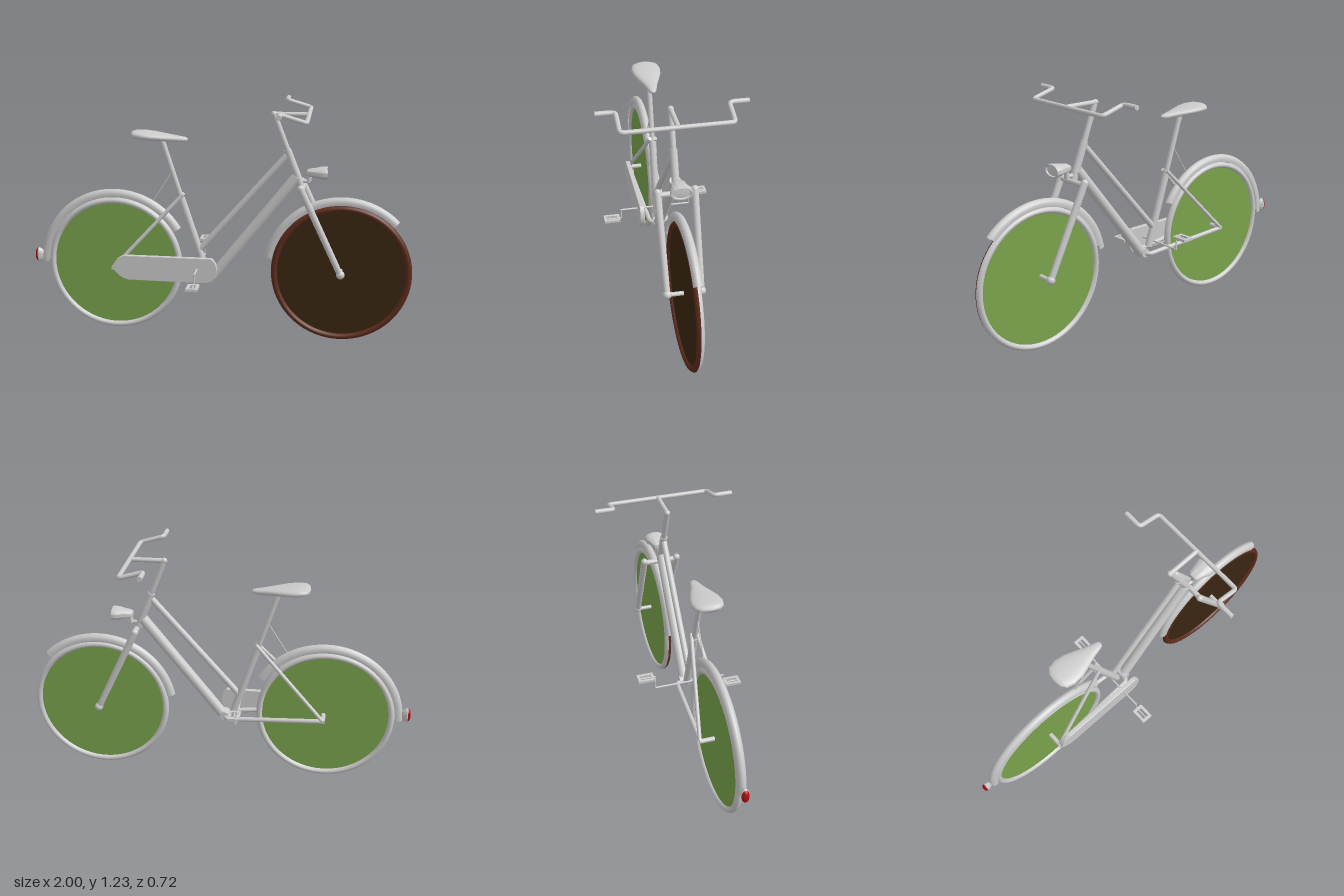
import * as THREE from 'three';
import { toCreasedNormals } from 'three/addons/utils/BufferGeometryUtils.js';

const mat = (color = 0xcccccc) => new THREE.MeshStandardMaterial({ color, side: THREE.DoubleSide });
const grey = mat(), green = mat(0x7aa34c), darkBrown = mat(0x3a2612), rust = mat(0x5e2c1c), red = mat(0xb01010);
const V = (p) => new THREE.Vector3(...p);

export function createModel() {
  const bike = new THREE.Group();
  bike.name = 'bicycle';

  const add = (name, geometry, material = grey, pos = [0, 0, 0]) => {
    const mesh = new THREE.Mesh(geometry, material);
    mesh.name = name;
    mesh.position.set(...pos);
    bike.add(mesh);
    return mesh;
  };

  // straight tube between two points
  const rod = (name, a, b, r, r2 = r) => {
    const from = V(a), to = V(b), dir = to.clone().sub(from);
    const m = add(name, new THREE.CylinderGeometry(r2, r, dir.length(), 16));
    m.position.copy(from).add(to).multiplyScalar(0.5);
    m.quaternion.setFromUnitVectors(new THREE.Vector3(0, 1, 0), dir.normalize());
    return m;
  };

  // tube along a polyline with rounded corners
  const bentTube = (name, pts, r, bend) => {
    const path = new THREE.CurvePath(), p = pts.map(V);
    let last = p[0];
    for (let i = 1; i < p.length - 1; i++) {
      const before = p[i].clone().add(p[i - 1].clone().sub(p[i]).setLength(bend));
      const after = p[i].clone().add(p[i + 1].clone().sub(p[i]).setLength(bend));
      path.add(new THREE.LineCurve3(last, before));
      path.add(new THREE.QuadraticBezierCurve3(before, p[i], after));
      last = after;
    }
    path.add(new THREE.LineCurve3(last, p[p.length - 1]));
    return add(name, new THREE.TubeGeometry(path, 140, r, 14));
  };

  // turned ring about the z axis, profile as [radius, z]; angles in degrees from +x
  const ring = (profile, from = 0, to = 360) => new THREE.LatheGeometry(
    profile.map(([r, z]) => new THREE.Vector2(r, z)), 72,
    THREE.MathUtils.degToRad(from + 90), THREE.MathUtils.degToRad(to - from)).rotateX(Math.PI / 2);

  // turned shape about the x axis, profile as [radius, x]
  const turnedX = (profile) => toCreasedNormals(new THREE.LatheGeometry(
    profile.map(([r, x]) => new THREE.Vector2(r, x)), 32).rotateZ(-Math.PI / 2), 0.7);

  // wheels: each side has its own tyre half and disc
  const half = [[0.363, 0], [0.361, 0.008], [0.354, 0.016], [0.346, 0.019], [0.338, 0.016], [0.332, 0.008], [0.331, 0.002]];
  const wheel = (name, pos, scale, tyreMat, discMat) => {
    add(name + 'TyreLeft', ring(half), tyreMat, pos).scale.set(scale, scale, 1);
    add(name + 'TyreRight', ring(half.map(([r, z]) => [r, -z]).reverse()), grey, pos).scale.set(scale, scale, 1);
    const disc = new THREE.CircleGeometry(0.333, 72);
    add(name + 'DiscLeft', disc, discMat, [pos[0], pos[1], 0.004]);
    add(name + 'DiscRight', disc, green, [pos[0], pos[1], -0.004]).rotation.y = Math.PI;
  };
  const rear = [-0.558, 0.37, 0], front = [0.634, 0.364, 0];
  wheel('rearWheel', rear, 0.993, grey, green);
  wheel('frontWheel', front, 1, rust, darkBrown);
  rod('rearAxle', [-0.55, 0.372, -0.08], [-0.55, 0.372, 0.09], 0.012);
  rod('frontAxle', [0.632, 0.38, -0.095], [0.632, 0.38, 0.095], 0.011);

  // mudguards
  const guard = [[0.366, -0.02], [0.382, -0.023], [0.395, -0.018], [0.403, -0.009], [0.406, 0],
    [0.403, 0.009], [0.395, 0.018], [0.382, 0.023], [0.366, 0.02]];
  add('rearMudguard', ring(guard, 31, 180), grey, [rear[0] + 0.005, rear[1], 0]);
  add('frontMudguard', ring(guard, 45, 169), grey, front);
  rod('mudguardStay', [-0.25, 0.875, 0], [-0.352, 0.715, 0], 0.003);

  // frame
  const bracket = [-0.105, 0.385, 0];
  rod('seatTube', [-0.075, 0.36, 0], [-0.2, 0.74, 0], 0.019);
  rod('seatPost', [-0.2, 0.74, 0], [-0.298, 1.045, 0], 0.014);
  rod('topTube', [-0.1, 0.47, 0], [0.345, 0.98, 0], 0.016);
  rod('downTube', [-0.025, 0.335, 0], [0.395, 0.87, 0], 0.027);
  rod('bottomBracket', [-0.03, 0.34, -0.03], [-0.03, 0.34, 0.03], 0.024);
  bentTube('chainStays', [[-0.55, 0.372, -0.075], [-0.035, 0.335, -0.045],
    [-0.035, 0.335, 0.045], [-0.55, 0.372, 0.075]], 0.012, 0.03);
  for (const s of [1, -1]) {
    const side = s > 0 ? 'left' : 'right';
    rod(side + 'SeatStay', [-0.548, 0.375, 0.078 * s], [-0.19, 0.76, 0.014 * s], 0.01);
  }

  // steering column and fork
  rod('steeringTube', [0.418, 0.825, 0], [0.345, 1.01, 0], 0.019);
  rod('stemColumn', [0.345, 1.01, 0], [0.275, 1.19, 0], 0.0145);
  rod('forkCrown', [0.426, 0.817, -0.09], [0.426, 0.817, 0.09], 0.014);
  for (const s of [1, -1]) {
    const side = s > 0 ? 'left' : 'right';
    rod(side + 'ForkLeg', [0.63, 0.385, 0.084 * s], [0.42, 0.828, 0.09 * s], 0.016, 0.018);
    add(side + 'ForkTop', new THREE.SphereGeometry(0.018, 16, 10), grey, [0.42, 0.828, 0.09 * s]);
    add(side + 'ForkEnd', new THREE.SphereGeometry(0.022, 16, 10), grey, [0.632, 0.383, 0.084 * s]);
    rod(side + 'Grip', [0.325, 1.223, 0.29 * s], [0.325, 1.223, 0.36 * s], 0.0125);
  }

  // handlebar
  rod('handlebarStem', [0.272, 1.187, 0], [0.45, 1.187, 0], 0.012);
  add('stemJoint', new THREE.SphereGeometry(0.0155, 16, 10), grey, [0.275, 1.187, 0]);
  bentTube('handlebar', [[0.325, 1.223, -0.355], [0.325, 1.223, -0.265], [0.45, 1.186, -0.265],
    [0.45, 1.186, 0.265], [0.325, 1.223, 0.265], [0.325, 1.223, 0.355]], 0.0115, 0.02);

  // saddle: cross-sections along x as [x, half width, bottom, top]
  const sections = [[-0.456, 0.012, 1.068, 1.074], [-0.45, 0.045, 1.055, 1.085], [-0.43, 0.068, 1.048, 1.09],
    [-0.39, 0.077, 1.044, 1.089], [-0.34, 0.071, 1.041, 1.084], [-0.29, 0.054, 1.038, 1.077],
    [-0.24, 0.035, 1.035, 1.07], [-0.195, 0.023, 1.034, 1.063], [-0.172, 0.016, 1.036, 1.059], [-0.164, 0.005, 1.043, 1.051]];
  const N = 24, verts = [], faces = [];
  sections.forEach(([x, w, lo, hi], i) => {
    for (let j = 0; j < N; j++) {
      const a = (j / N) * Math.PI * 2, c = Math.cos(a), s = Math.sin(a);
      const y = (lo + hi) / 2 + Math.sign(s) * Math.abs(s) ** 0.75 * (hi - lo) / 2;
      verts.push(x, y, w * c);
      if (i) {
        const k = (j + 1) % N, p = (i - 1) * N, q = i * N;
        faces.push(p + j, q + j, p + k, p + k, q + j, q + k);
      }
    }
  });
  for (let j = 1; j < N - 1; j++) {
    const e = (sections.length - 1) * N;
    faces.push(0, j, j + 1, e, e + j + 1, e + j);
  }
  const saddle = new THREE.BufferGeometry();
  saddle.setAttribute('position', new THREE.Float32BufferAttribute(verts, 3));
  saddle.setIndex(faces);
  saddle.computeVertexNormals();
  add('saddle', saddle);

  // chain case on the left side
  const cs = new THREE.Shape();
  cs.moveTo(-0.49, 0.445);
  cs.lineTo(-0.03, 0.445);
  cs.quadraticCurveTo(0, 0.42, 0, 0.38);
  cs.quadraticCurveTo(-0.005, 0.345, -0.03, 0.318);
  cs.lineTo(-0.06, 0.31);
  cs.lineTo(-0.47, 0.312);
  cs.quadraticCurveTo(-0.525, 0.325, -0.552, 0.375);
  cs.quadraticCurveTo(-0.54, 0.43, -0.49, 0.445);
  add('chainCase', new THREE.ExtrudeGeometry(cs, { depth: 0.018, bevelEnabled: true, bevelSize: 0.003,
    bevelThickness: 0.003, bevelOffset: -0.003, bevelSegments: 2 }), grey, [0, 0, 0.081]);

  // cranks and pedals
  rod('crankAxle', [bracket[0], 0.385, -0.183], [bracket[0], 0.385, 0.193], 0.005);
  const rect = (P, x, z) => {
    const p = new P();
    p.moveTo(-x, -z); p.lineTo(x, -z); p.lineTo(x, z); p.lineTo(-x, z); p.closePath();
    return p;
  };
  const plate = rect(THREE.Shape, 0.03, 0.043);
  plate.holes.push(rect(THREE.Path, 0.015, 0.028));
  const pedal = new THREE.ExtrudeGeometry(plate, { depth: 0.013, bevelEnabled: false }).rotateX(Math.PI / 2);
  for (const [side, z, y, s] of [['left', 0.191, 0.333, 1], ['right', -0.181, 0.46, -1]]) {
    rod(side + 'Crank', [bracket[0], 0.385, z], [bracket[0], y, z], 0.004);
    rod(side + 'PedalSpindle', [bracket[0], y, z], [bracket[0], y, z + 0.085 * s], 0.004);
    add(side + 'Pedal', pedal, grey, [bracket[0], y + 0.0065, z + 0.05 * s]);
  }

  // headlight
  add('headlight', turnedX([[0, -0.055], [0.014, -0.052], [0.02, -0.04], [0.024, -0.01], [0.031, 0.02], [0.033, 0.045],
    [0.032, 0.052], [0.027, 0.052], [0.025, 0.044], [0, 0.047]]), grey, [0.498, 0.893, 0]).scale.z = 1.65;
  rod('headlightNeck', [0.455, 0.842, 0], [0.462, 0.885, 0], 0.013);
  rod('headlightBracket', [0.405, 0.848, 0], [0.468, 0.848, 0], 0.01);

  // tail light
  add('tailLightHousing', turnedX([[0.037, -0.985], [0.041, -0.98], [0.032, -0.965], [0.02, -0.955], [0, -0.953]]),
    grey, [0, 0.4, 0]).scale.z = 0.5;
  add('tailLightLens', turnedX([[0, -1], [0.02, -0.998], [0.032, -0.993], [0.037, -0.985]]), red, [0, 0.4, 0]).scale.z = 0.5;

  return bike;
}
